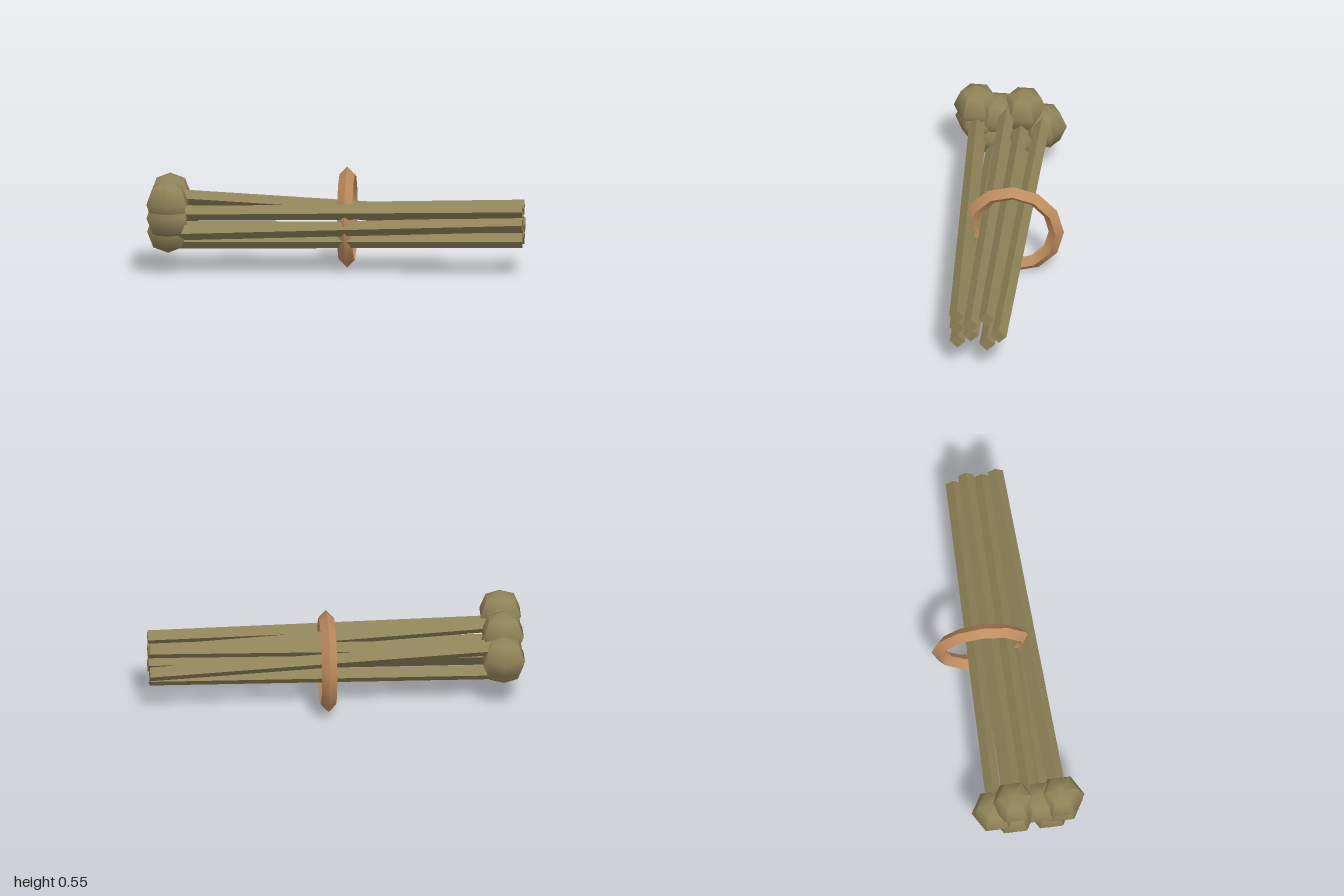
import * as THREE from 'three';
import { toCreasedNormals } from 'three/addons/utils/BufferGeometryUtils.js';

const olive = new THREE.MeshStandardMaterial({ name: 'olive', color: 0x8f8358 });
const copper = new THREE.MeshStandardMaterial({ name: 'copper', color: 0xbf8d60 });

const TIP_X = 1, HEAD_X = -0.89;

// Each stalk: [y, z] of the cut end, then [y, z] of the end inside the heads
const stalks = [
  [[0.35, 0.112], [0.335, 0.222]],
  [[0.277, 0.11], [0.228, 0.217]],
  [[0.19, 0.11], [0.17, 0.128]],
  [[0.183, -0.05], [0.16, -0.033]],
  [[0.238, -0.113], [0.353, -0.132]],
  [[0.343, -0.046], [0.302, -0.018]],
  [[0.295, 0.037], [0.399, 0.06]],
  [[0.235, 0.037], [0.225, 0.06]],
];

// [y, z] of the head centres
const heads = [
  [0.391, 0.227], [0.318, 0.219], [0.235, 0.16], [0.225, -0.033],
  [0.293, -0.131], [0.388, -0.027], [0.343, 0.108],
];

// Square bar along x, sheared so that both ends stay upright
function stalkGeometry(cut, inner) {
  const g = new THREE.CylinderGeometry(0.041, 0.041, TIP_X - HEAD_X, 4);
  g.rotateZ(-Math.PI / 2);
  g.translate((TIP_X + HEAD_X) / 2, 0, 0);
  const p = g.attributes.position;
  for (let i = 0; i < p.count; i++) {
    const t = (p.getX(i) - HEAD_X) / (TIP_X - HEAD_X);
    p.setY(i, p.getY(i) + THREE.MathUtils.lerp(inner[0], cut[0], t));
    p.setZ(i, p.getZ(i) + THREE.MathUtils.lerp(inner[1], cut[1], t));
  }
  return toCreasedNormals(g, 0.5);
}

export function createModel() {
  const model = new THREE.Group();
  model.name = 'tiedBundle';
  const add = (name, geometry, material) => {
    const mesh = new THREE.Mesh(geometry, material);
    mesh.name = name;
    model.add(mesh);
    return mesh;
  };

  // Square stalks
  stalks.forEach(([cut, inner], i) => add(`stalk${i + 1}`, stalkGeometry(cut, inner), olive));

  // Round, six-sided heads
  const ball = toCreasedNormals(new THREE.SphereGeometry(0.124, 6, 4).rotateY(Math.PI / 2), 0.9);
  heads.forEach(([y, z], i) => add(`head${i + 1}`, ball, olive).position.set(HEAD_X, y, z));

  // Loose ring around the bundle
  const ring = new THREE.TorusGeometry(0.232, 0.041, 4, 12).rotateY(Math.PI / 2);
  add('ring', toCreasedNormals(ring, 0.8), copper).position.set(0.052, 0.273, -0.078);

  return model;
}
